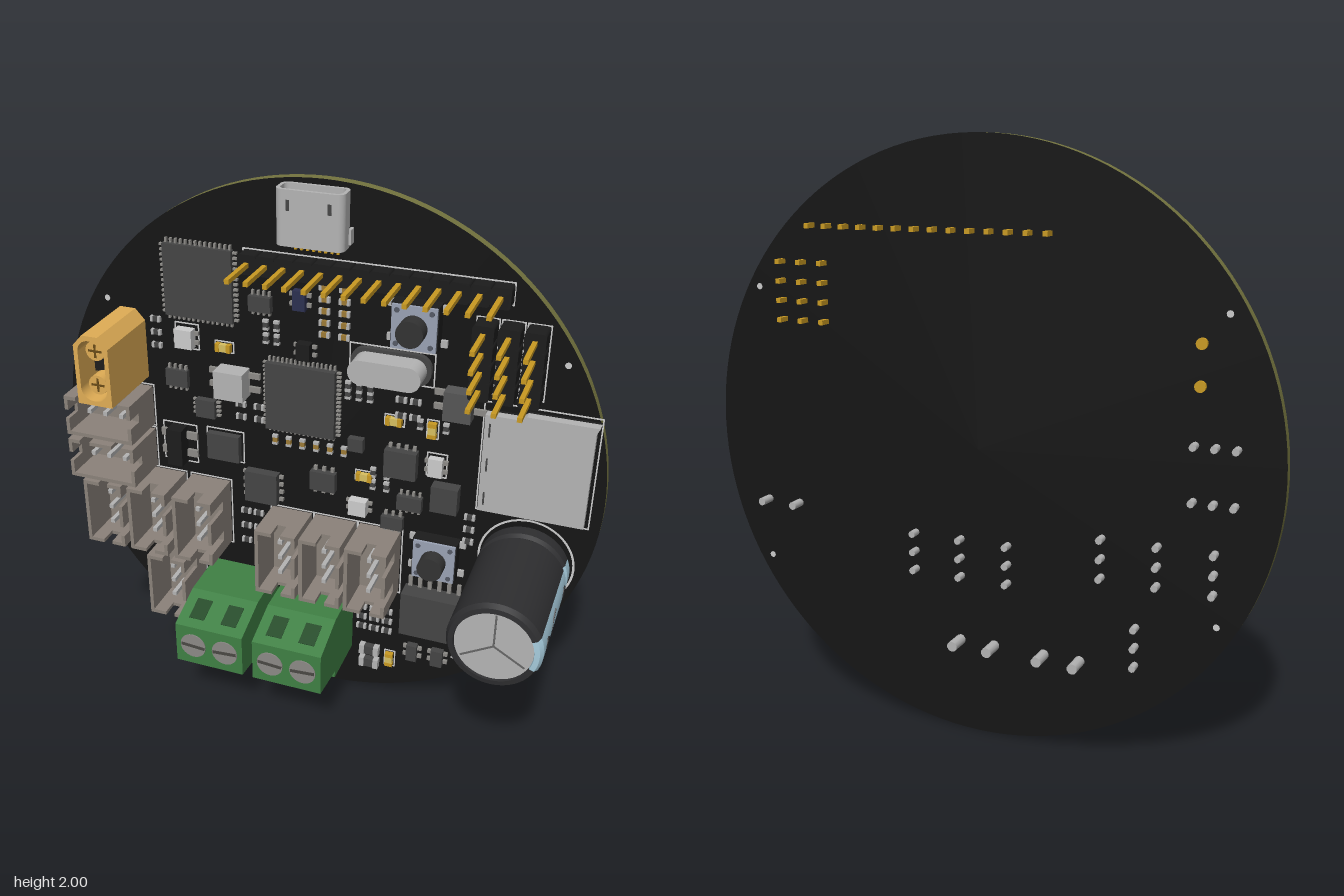
import * as THREE from 'three';
import { toCreasedNormals } from 'three/addons/utils/BufferGeometryUtils.js';

const C = { board: 0x151515, edge: 0x74743f, chip: 0x454545, black: 0x1c1c1c, silver: 0xb4b4b4, steel: 0x8c8a86,
  gold: 0xc99a22, socket: 0x8b827a, green: 0x3f8044, darkGreen: 0x234a27, yellow: 0xe0ad55, white: 0xd8d8d8, blue: 0xa6cbdc };
const mats = {};
const mat = c => (mats[c] ??= new THREE.MeshStandardMaterial({ color: c, side: THREE.DoubleSide }));

function add(parent, name, geo, color, x = 0, y = 0, z = 0) {
  const m = new THREE.Mesh(geo, mat(color));
  m.name = name;
  m.position.set(x, y, z);
  parent.add(m);
  return m;
}
function group(parent, name, x = 0, y = 0, z = 0) {
  const g = new THREE.Group();
  g.name = name;
  g.position.set(x, y, z);
  parent.add(g);
  return g;
}
// box given by its limits
const box = (p, name, color, x0, x1, y0, y1, z0, z1) => add(p, name,
  new THREE.BoxGeometry(x1 - x0, y1 - y0, z1 - z0), color, (x0 + x1) / 2, (y0 + y1) / 2, (z0 + z1) / 2);
// round part with its axis along z
const disc = (p, name, color, r, x, y, z0, z1, n = 24) => add(p, name,
  new THREE.CylinderGeometry(r, r, z1 - z0, n).rotateX(Math.PI / 2), color, x, y, (z0 + z1) / 2);
const extrude = (s, depth) => new THREE.ExtrudeGeometry(s, { depth, bevelEnabled: false, curveSegments: 16 });

function roundRect(w, h, r, S = THREE.Shape) {
  const s = new S(), a = w / 2 - r, b = h / 2 - r;
  s.absarc(a, b, r, 0, Math.PI / 2);
  s.absarc(-a, b, r, Math.PI / 2, Math.PI);
  s.absarc(-a, -b, r, Math.PI, Math.PI * 1.5);
  s.absarc(a, -b, r, Math.PI * 1.5, Math.PI * 2);
  s.closePath();
  return s;
}
// thin printed frame on the board
function outline(p, x, y, w, h) {
  const s = roundRect(w, h, 0.003);
  s.holes.push(roundRect(w - 0.01, h - 0.01, 0.002, THREE.Path));
  add(p, 'printedOutline', extrude(s, 0.002), C.white, x, y, 0);
}
// chip with nx legs on the top and bottom edges, ny legs on the sides
function chip(p, x0, x1, y0, y1, h, nx = 0, ny = 0, color = C.chip) {
  const g = group(p, 'chip', (x0 + x1) / 2, (y0 + y1) / 2), w = x1 - x0, d = y1 - y0;
  box(g, 'chipBody', color, -w / 2, w / 2, -d / 2, d / 2, 0.003, h);
  const reach = h > 0.05 ? 0.042 : 0.016;
  for (const s of [-1, 1]) {
    for (let i = 0; i < nx; i++) add(g, 'leg', new THREE.BoxGeometry(w / nx * 0.4, reach, 0.012), C.steel,
      ((i + 0.5) / nx - 0.5) * w, s * (d + reach) / 2, 0.008);
    for (let i = 0; i < ny; i++) add(g, 'leg', new THREE.BoxGeometry(reach, d / ny * 0.4, 0.012), C.steel,
      s * (w + reach) / 2, ((i + 0.5) / ny - 0.5) * d, 0.008);
  }
}
function passive(p, x, y, upright, color = C.chip, end = C.silver, k = 1) {
  const g = group(p, 'smallComponent', x, y);
  if (upright) g.rotation.z = Math.PI / 2;
  box(g, 'componentBody', color, -0.009 * k, 0.009 * k, -0.009 * k, 0.009 * k, 0, 0.013 * k);
  for (const s of [-1, 1]) add(g, 'solderEnd', new THREE.BoxGeometry(0.01 * k, 0.02 * k, 0.014 * k), end, s * 0.014 * k, 0, 0.007 * k);
}
// three-way wire socket: open shroud, slotted on its long +x side and notched at the ends
function wireSocket(p, x, y, turned) {
  const g = group(p, 'wireSocket', x, y);
  if (turned) g.rotation.z = Math.PI / 2;
  const w = 0.0775, l = 0.1325, t = 0.014, top = 0.185, low = 0.075, c = C.socket;
  box(g, 'socketFloor', c, -w, w, -l, l, 0, 0.03);
  box(g, 'socketWall', c, -w, -w + t, -l, l, 0, top);
  box(g, 'socketWall', c, w - t, w, -l, l, 0, low);
  for (const [a, b] of [[-l, -0.085], [-0.045, 0.045], [0.085, l]]) box(g, 'socketTooth', c, w - t, w, a, b, low, top);
  for (const s of [-1, 1]) {
    add(g, 'socketEnd', new THREE.BoxGeometry(2 * w, t, 0.12), c, 0, s * (l - t / 2), 0.06);
    add(g, 'socketEnd', new THREE.BoxGeometry(0.065, t, 0.065), c, -0.045, s * (l - t / 2), 0.1525);
    add(g, 'socketEnd', new THREE.BoxGeometry(0.055, t, 0.065), c, 0.05, s * (l - t / 2), 0.1525);
  }
  for (const i of [-1, 0, 1]) {
    box(g, 'socketPin', C.silver, -0.008, 0.008, i * 0.065 - 0.008, i * 0.065 + 0.008, 0, 0.13);
    disc(g, 'solderedPin', C.silver, 0.012, 0, i * 0.065, -0.07, 0, 8);
  }
  outline(g, 0, 0, 0.172, 0.282);
}
function screwTerminal(p, x) {
  const g = group(p, 'screwTerminal', x, 0);
  const pts = [[0, 0.187], [0.205, 0.187], [0.205, 0.215], [0.365, 0.235], [0.365, 0.4], [0.205, 0.455], [0, 0.462]];
  const s = new THREE.Shape(pts.map(q => new THREE.Vector2(...q)));
  add(g, 'terminalBody', extrude(s, 0.265).translate(0, 0, -0.1325).rotateY(-Math.PI / 2), C.green);
  for (const sx of [-0.063, 0.063]) {
    disc(g, 'screw', C.steel, 0.05, sx, 0.318, 0.3, 0.369);
    const slot = add(g, 'screwSlot', new THREE.BoxGeometry(0.012, 0.092, 0.003), 0x4a4844, sx, 0.318, 0.37);
    slot.rotation.z = sx > 0 ? -1.5 : 1.5;
    add(g, 'topSlot', new THREE.BoxGeometry(0.06, 0.004, 0.09), C.darkGreen, sx, 0.4275, 0.285).rotation.x = 0.33;
    box(g, 'wireEntry', C.darkGreen, sx - 0.045, sx + 0.045, 0.185, 0.19, 0.04, 0.16);
    disc(g, 'solderedPin', C.silver, 0.018, sx, 0.325, -0.105, 0, 10);
  }
}
function pushButton(p, x, y) {
  const g = group(p, 'pushButton', x, y);
  box(g, 'buttonBase', C.black, -0.08, 0.08, -0.08, 0.08, 0, 0.05);
  box(g, 'buttonPlate', 0x9aa2b4, -0.076, 0.076, -0.076, 0.076, 0.05, 0.06);
  disc(g, 'buttonPlunger', 0x333333, 0.046, 0, 0, 0.06, 0.115);
  for (const sx of [-1, 1]) for (const sy of [-1, 1]) {
    add(g, 'buttonLeg', new THREE.BoxGeometry(0.025, 0.025, 0.012), C.silver, sx * 0.09, sy * 0.06, 0.006);
    disc(g, 'rivet', 0x555a66, 0.009, sx * 0.058, sy * 0.058, 0.06, 0.064, 10);
  }
}
function pinRow(p, x, y, n, upright, h) {
  const g = group(p, 'pinHeader', x, y), pitch = 0.0653;
  if (upright) g.rotation.z = -Math.PI / 2;
  for (let i = 0; i < n; i++) {
    const px = (i - (n - 1) / 2) * pitch;
    const s = roundRect(pitch, 0.07, 0.012);
    add(g, 'headerBlock', extrude(s, h), C.black, px, 0, 0);
    add(g, 'headerPin', new THREE.BoxGeometry(0.016, 0.016, 0.295), C.gold, px, 0, 0.0725);
  }
  outline(g, 0, 0, n * pitch + 0.006, 0.079);
}

export function createModel() {
  const root = new THREE.Group();
  root.name = 'circuitBoard';
  const b = group(root, 'boardAssembly', 0, 0, -0.205);

  // round board with a lighter rim
  const disk = disc(b, 'board', C.board, 1, 0, 1, -0.035, 0, 128);
  disk.material = [mat(C.edge), mat(C.board), mat(C.board)];
  for (const [x, y] of [[-0.81, 1.49], [0.825, 1.49], [-0.81, 0.52], [0.825, 0.52]])
    disc(b, 'mountingHole', C.white, 0.011, x, y, -0.036, 0.001, 12);

  // charging port with its mouth at the board's upper edge
  const port = group(b, 'portSocket', -0.018, 1.98, 0.043);
  const shell = roundRect(0.232, 0.085, 0.025);
  shell.holes.push(roundRect(0.208, 0.062, 0.018, THREE.Path));
  add(port, 'portShell', extrude(shell, 0.185).rotateX(Math.PI / 2), C.silver);
  add(port, 'portBack', extrude(roundRect(0.215, 0.07, 0.02), 0.06).rotateX(Math.PI / 2), C.chip, 0, -0.12);
  box(port, 'portTongue', C.black, -0.08, 0.08, -0.13, -0.02, -0.008, 0.008);
  for (const s of [-1, 1]) {
    add(port, 'shellTab', new THREE.BoxGeometry(0.012, 0.05, 0.03), C.silver, s * 0.118, -0.15, -0.028);
    add(port, 'shellSlot', new THREE.BoxGeometry(0.012, 0.035, 0.003), C.chip, s * 0.07, -0.05, 0.042);
  }
  for (let i = 0; i < 8; i++) add(port, 'portContact', new THREE.BoxGeometry(0.009, 0.04, 0.008), C.gold, (i - 3.5) * 0.021, -0.2, -0.038);

  // pin headers
  pinRow(b, 0.178, 1.703, 14, false, 0.055);
  for (const x of [0.56, 0.642, 0.724]) pinRow(b, x, 1.483, 4, true, 0.075);

  // two-pole power plug: square at the bottom, chamfered at the top
  const plug = group(b, 'powerPlug', -0.732, 1.335);
  const ps = new THREE.Shape([[-0.066, -0.13], [0.066, -0.13], [0.066, 0.09], [0.03, 0.13], [-0.03, 0.13], [-0.066, 0.09]]
    .map(q => new THREE.Vector2(...q)));
  const solid = ps.clone();
  ps.holes.push(roundRect(0.1, 0.225, 0.045, THREE.Path));
  add(plug, 'plugBase', extrude(solid, 0.13), C.yellow);
  add(plug, 'plugShell', extrude(ps, 0.15), C.yellow, 0, 0, 0.13);
  box(plug, 'plugDivider', C.black, -0.035, 0.035, -0.035, 0.035, 0.13, 0.2);
  for (const y of [-0.064, 0.064]) {
    disc(plug, 'plugContact', C.yellow, 0.036, 0, y, 0.13, 0.25);
    for (const r of [0, Math.PI / 2])
      add(plug, 'contactSlit', new THREE.BoxGeometry(0.05, 0.008, 0.003), 0x6a4c18, 0, y, 0.25).rotation.z = r;
    disc(plug, 'solderedPin', C.gold, 0.018, 0, y, -0.048, 0, 12);
  }

  // wire sockets and screw terminals
  for (const [x, y, turned] of [[-0.787, 1.09, 1], [-0.787, 0.915, 1], [-0.797, 0.693], [-0.617, 0.693], [-0.433, 0.693],
    [-0.552, 0.412], [-0.108, 0.622], [0.062, 0.622], [0.233, 0.622]]) wireSocket(b, x, y, turned);
  screwTerminal(b, -0.3);
  screwTerminal(b, 0.005);

  // large capacitor: dark sleeve, pale stripe facing +x, scored metal top
  const cap = group(b, 'capacitor', 0.762, 0.732);
  const prof = [[0, 0.008], [0.14, 0.008], [0.157, 0.03], [0.157, 0.075], [0.148, 0.09], [0.157, 0.105], [0.157, 0.495], [0.147, 0.513], [0.13, 0.515], [0.128, 0.505]]
    .map(q => new THREE.Vector2(...q));
  const sleeve = (a, len, n) => toCreasedNormals(new THREE.LatheGeometry(prof, n, a, len).rotateX(Math.PI / 2), 0.5);
  add(cap, 'sleeve', sleeve(Math.PI / 2 + 0.41, Math.PI * 2 - 0.82, 48), 0x2e2e30);
  add(cap, 'stripe', sleeve(Math.PI / 2 - 0.41, 0.82, 8), C.blue);
  disc(cap, 'metalTop', C.silver, 0.129, 0, 0, 0.48, 0.506, 48);
  for (let i = 0; i < 3; i++) {
    const a = Math.PI / 2 + i * Math.PI * 2 / 3;
    add(cap, 'score', new THREE.BoxGeometry(0.12, 0.006, 0.003), 0x666666, Math.cos(a) * 0.06, Math.sin(a) * 0.06, 0.507).rotation.z = a;
  }
  for (const z of [0.14, 0.43]) add(cap, 'stripeMark', new THREE.CylinderGeometry(0.024, 0.024, 0.004, 16)
    .scale(1, 1, 0.9).rotateZ(Math.PI / 2), 0x2e2e30, 0.157, 0, z);
  for (const s of [-1, 1]) add(cap, 'stripeArrow', new THREE.BoxGeometry(0.004, 0.006, 0.07), 0x2e2e30, 0.156, s * 0.028, 0.335).rotation.x = s * 0.9;
  for (const x of [-0.064, 0.064]) disc(cap, 'solderedPin', C.silver, 0.014, x, 0, -0.085, 0.01, 10);
  add(cap, 'printedOutline', new THREE.RingGeometry(0.162, 0.17, 48), C.white, 0, 0, 0.002);

  // memory card holder
  const card = group(b, 'cardHolder');
  const cs = new THREE.Shape([[0.585, 0.93], [0.945, 0.93], [0.945, 1.29], [0.955, 1.31], [0.72, 1.31], [0.7, 1.295], [0.585, 1.295]]
    .map(q => new THREE.Vector2(...q)));
  add(card, 'holderBase', extrude(cs, 0.012), C.black);
  add(card, 'holderCover', extrude(cs, 0.033), C.silver, 0, 0, 0.012);
  for (let i = 0; i < 8; i++) box(card, 'holderContact', C.silver, 0.61 + i * 0.035, 0.625 + i * 0.035, 0.912, 0.935, 0, 0.012);
  for (const y of [0.98, 1.11, 1.24]) box(card, 'coverSlot', C.chip, 0.6, 0.606, y - 0.025, y + 0.025, 0.04, 0.0465);
  outline(b, 0.765, 1.115, 0.39, 0.42);

  // buttons and crystal can
  pushButton(b, 0.333, 1.565);
  pushButton(b, 0.448, 0.69);
  outline(b, 0.25, 1.4, 0.3, 0.125);
  add(b, 'crystalBase', extrude(roundRect(0.28, 0.112, 0.05), 0.02), C.chip, 0.25, 1.4);
  add(b, 'crystalCan', extrude(roundRect(0.25, 0.088, 0.043), 0.085), C.silver, 0.25, 1.4, 0.015);

  // chips: x and y limits, height, legs per edge, colour
  for (const c of [[-0.57, -0.315, 1.47, 1.73, 0.026, 14, 14], [-0.195, 0.06, 1.095, 1.35, 0.035, 16, 16],
    [0.34, 0.63, 0.355, 0.535, 0.075, 8], [-0.28, -0.155, 0.78, 0.905, 0.04, 0, 4], [-0.43, -0.305, 0.925, 1.03, 0.03],
    [0.245, 0.36, 0.99, 1.095, 0.04, 4], [0.42, 0.515, 0.89, 0.99, 0.05], [-0.03, 0.065, 0.875, 0.95, 0.03, 3],
    [0.295, 0.385, 0.86, 0.915, 0.03, 4], [0.24, 0.32, 0.77, 0.82, 0.03, 3], [-0.585, -0.5, 1.195, 1.26, 0.025, 4],
    [-0.47, -0.395, 1.09, 1.16, 0.03, 0, 4], [-0.255, -0.175, 1.53, 1.585, 0.03, 4], [0.11, 0.165, 1.06, 1.11, 0.03]]) chip(b, ...c);
  for (const c of [[-0.375, -0.265, 1.2, 1.305, 0.075, C.silver], [-0.535, -0.47, 1.355, 1.425, 0.04, C.white],
    [0.4, 0.45, 1.015, 1.085, 0.03, C.white], [0.12, 0.185, 0.805, 0.865, 0.04, C.white], [0.445, 0.54, 1.255, 1.36, 0.06, 0x555555],
    [-0.095, -0.05, 1.555, 1.625, 0.03, 0x2c3050], [-0.58, -0.52, 0.885, 1.03, 0.06, C.black], [-0.08, -0.03, 1.38, 1.44, 0.04, C.black],
    [0.36, 0.4, 0.2, 0.27, 0.03, C.chip], [0.455, 0.5, 0.2, 0.27, 0.03, C.chip]]) chip(b, ...c.slice(0, 5), 0, 2, c[5]);
  for (const o of [[-0.502, 1.39, 0.095, 0.1], [-0.55, 0.957, 0.14, 0.16], [-0.368, 0.978, 0.15, 0.13], [0.425, 1.05, 0.075, 0.095]]) outline(b, ...o);

  // small components in rows: start x, y, columns, rows, steps, upright
  for (const [x, y, nx, ny, dx, dy, up, color] of [[0.012, 1.475, 2, 5, 0.07, 0.042, 0, 0x9c7a35], [-0.17, 1.042, 6, 1, 0.052, 0, 1, 0x9c7a35],
    [-0.29, 0.585, 2, 3, 0.05, 0.065, 0], [0.175, 0.3, 3, 3, 0.05, 0.045, 0], [0.1, 1.27, 3, 2, 0.04, 0.03, 1],
    [-0.3, 1.11, 2, 2, 0.07, 0.05, 0], [0.36, 1.2, 2, 1, 0.09, 0, 1], [0.2, 0.93, 2, 2, 0.05, 0.05, 1], [0.555, 0.77, 1, 3, 0, 0.05, 0],
    [-0.2, 1.43, 2, 2, 0.04, 0.05, 1], [-0.62, 1.34, 1, 3, 0, 0.05, 0], [0.29, 1.22, 2, 2, 0.05, 0.06, 0], [0.54, 0.265, 2, 1, 0.06, 0, 1]])
    for (let i = 0; i < nx; i++) for (let j = 0; j < ny; j++) passive(b, x + i * dx, y + j * dy, up, color);
  for (const [x, y, up] of [[-0.36, 1.37], [0.268, 1.195], [0.403, 1.185, 1], [0.168, 0.955], [0.29, 0.17, 1]]) {
    passive(b, x, y, up, 0xd8c060, C.gold, 1.5);
    outline(b, x, y, up ? 0.045 : 0.075, up ? 0.075 : 0.045);
  }
  for (const y of [0.14, 0.2]) passive(b, 0.212, y, 0, C.chip, C.silver, 2);
  return root;
}
